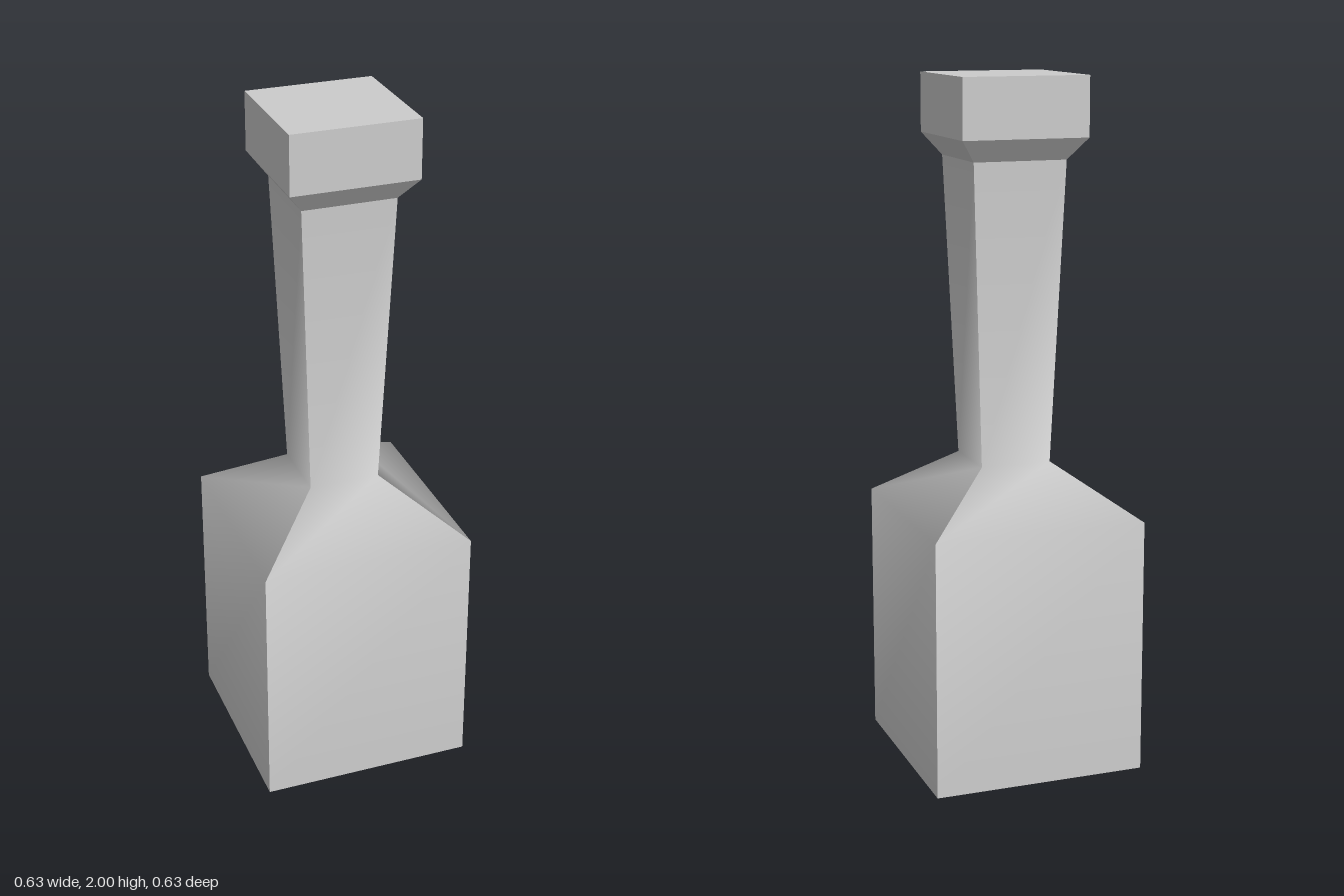
import * as THREE from 'three';
import { mergeGeometries } from 'three/addons/utils/BufferGeometryUtils.js';

const material = new THREE.MeshStandardMaterial({ color: 0xcccccc });

// Square column following [halfWidth, y] points from the top down:
// smooth along each side, sharp where the four sides meet.
function squareColumn(profile) {
  const sides = [];
  for (let i = 0; i < 4; i++) {
    const side = new THREE.PlaneGeometry(2, 1, 1, profile.length - 1);
    const pos = side.attributes.position;
    for (let v = 0; v < pos.count; v++) {
      const [half, y] = profile[Math.floor(v / 2)];
      pos.setXYZ(v, pos.getX(v) * half, y, half);
    }
    side.computeVertexNormals();
    sides.push(side.rotateY(i * Math.PI / 2));
  }
  return mergeGeometries(sides);
}

// Flat square closing a column, facing up (1) or down (-1)
function squareEnd(half, y, facing) {
  return new THREE.PlaneGeometry(half * 2, half * 2)
    .rotateX(-facing * Math.PI / 2)
    .translate(0, y, 0);
}

export function createModel() {
  const group = new THREE.Group();
  const add = (name, geometry) => {
    const mesh = new THREE.Mesh(geometry, material);
    mesh.name = name;
    group.add(mesh);
  };

  // Base block, sloping shoulder and flaring neck in one smooth run
  add('baseAndNeck', squareColumn([[0.137, 1.767], [0.104, 0.897], [0.313, 0.748], [0.313, 0]]));
  add('baseUnderside', squareEnd(0.313, 0, -1));

  // Collar flaring out to the square head
  add('collar', squareColumn([[0.185, 1.83], [0.137, 1.767]]));
  add('head', squareColumn([[0.185, 2], [0.185, 1.83]]));
  add('headTop', squareEnd(0.185, 2, 1));

  return group;
}
